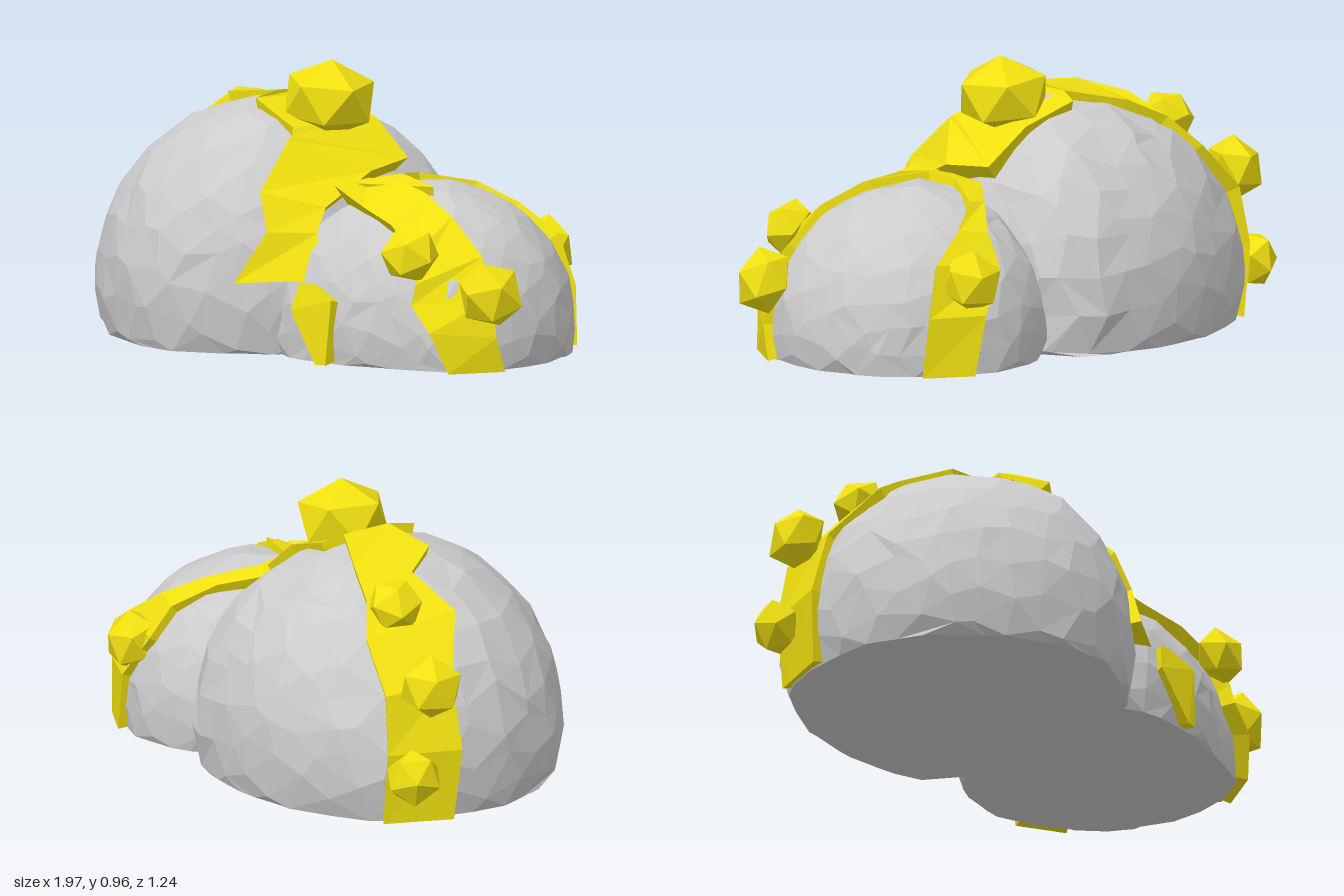
import * as THREE from 'three';

const grey = new THREE.MeshStandardMaterial({ color: 0xcccccc, flatShading: true });
const yellow = new THREE.MeshStandardMaterial({ color: 0xf0e010, flatShading: true });

// Each boulder: centre, height above centre, and plan radius every 30 degrees from +x towards +z
const bigRock = {
  c: new THREE.Vector3(-0.25, 0.18, 0), h: 0.63,
  radii: [0.47, 0.52, 0.565, 0.62, 0.62, 0.65, 0.66, 0.665, 0.62, 0.6, 0.64, 0.52],
};
const smallRock = {
  c: new THREE.Vector3(0.38, 0.1, -0.1), h: 0.48,
  radii: [0.52, 0.53, 0.46, 0.48, 0.54, 0.45, 0.35, 0.4, 0.46, 0.48, 0.48, 0.5],
};

function planRadius(rock, x, z) {
  const a = ((Math.atan2(z, x) / (Math.PI * 2) + 1) % 1) * 12;
  const i = Math.floor(a);
  const t = a - i;
  const s = t * t * (3 - 2 * t);
  return rock.radii[i % 12] * (1 - s) + rock.radii[(i + 1) % 12] * s;
}

// Distance from the rock's centre to its surface along d, in units of d's length
function reach(rock, d) {
  const r = planRadius(rock, d.x, d.z);
  return 1 / Math.hypot(d.x / r, d.y / rock.h, d.z / r);
}

// Faceted boulder with slightly uneven vertices and a flat underside
function boulder(name, rock) {
  const g = new THREE.IcosahedronGeometry(1, 5);
  const p = g.attributes.position;
  const v = new THREE.Vector3();
  for (let i = 0; i < p.count; i++) {
    v.fromBufferAttribute(p, i);
    const { x, y, z } = v;
    v.x += 0.06 * Math.sin(17 * y + 9 * z + 1);
    v.y += 0.06 * Math.sin(15 * z + 11 * x + 2);
    v.z += 0.06 * Math.sin(16 * x + 10 * y + 3);
    const r = planRadius(rock, v.x, v.z);
    v.normalize();
    const bump = 1 + 0.012 * Math.sin(13 * x + 7 * y) * Math.cos(11 * z - 5 * y);
    const yy = rock.c.y + v.y * rock.h * bump;
    let s = bump * r;
    if (yy < 0) {
      // Spread the underside out to the foot of the rock
      const flat = Math.hypot(v.x, v.z) || 1;
      const foot = Math.sqrt(1 - (rock.c.y / rock.h) ** 2);
      s *= foot * Math.pow(flat / foot, 0.3) / flat;
    }
    p.setXYZ(i, rock.c.x + v.x * s, Math.max(0, yy), rock.c.z + v.z * s);
  }
  g.computeVertexNormals();
  const m = new THREE.Mesh(g, grey);
  m.name = name;
  return m;
}

// Angular slab draped on a rock; each station is a pair of edge points [x,y,z, x,y,z]
function vein(name, rock, stations) {
  const rings = stations.map((s) => {
    const [a, b] = [s.slice(0, 3), s.slice(3)].map((q) => {
      const d = new THREE.Vector3(...q).sub(rock.c);
      const len = d.length();
      const out = Math.max(len, reach(rock, d) * len + 0.03);
      d.normalize();
      return [out, out - 0.08].map((l) => {
        const w = d.clone().multiplyScalar(l).add(rock.c);
        w.y = Math.max(0, w.y);
        return w;
      });
    });
    return [a[0], b[0], b[1], a[1]];
  });
  const pos = [];
  const quad = (a, b, c, d) => [a, b, c, a, c, d].forEach((w) => pos.push(w.x, w.y, w.z));
  for (let i = 0; i < rings.length - 1; i++) {
    for (let k = 0; k < 4; k++) {
      const n = (k + 1) % 4;
      quad(rings[i][k], rings[i][n], rings[i + 1][n], rings[i + 1][k]);
    }
  }
  const first = rings[0];
  const last = rings[rings.length - 1];
  quad(first[3], first[2], first[1], first[0]);
  quad(...last);
  const g = new THREE.BufferGeometry();
  g.setAttribute('position', new THREE.Float32BufferAttribute(pos, 3));
  g.computeVertexNormals();
  const m = new THREE.Mesh(g, yellow);
  m.name = name;
  return m;
}

// Twenty-sided crystal, slightly flattened along its outward direction
function crystal(x, y, z, r, out) {
  const g = new THREE.IcosahedronGeometry(r, 0);
  g.rotateX(Math.atan(2 / (1 + Math.sqrt(5))));
  g.scale(1, 1, 0.8);
  const m = new THREE.Mesh(g, yellow);
  m.position.set(x, y, z);
  m.quaternion.setFromUnitVectors(new THREE.Vector3(0, 0, 1), new THREE.Vector3(...out).normalize());
  m.name = 'crystal';
  return m;
}

export function createModel() {
  const model = new THREE.Group();
  model.name = 'oreBoulders';
  model.add(boulder('bigBoulder', bigRock), boulder('smallBoulder', smallRock));

  // Main vein: up the side of the big boulder, over its top and down the front
  model.add(vein('mainVein', bigRock, [
    [-0.82, 0, -0.33, -0.89, 0, -0.1],
    [-0.85, 0.25, -0.33, -0.9, 0.25, -0.08],
    [-0.82, 0.45, -0.32, -0.85, 0.48, -0.08],
    [-0.66, 0.6, -0.3, -0.68, 0.64, 0.02],
    [-0.56, 0.7, -0.24, -0.53, 0.74, -0.05],
    [-0.42, 0.76, -0.2, -0.42, 0.77, 0.08],
    [-0.22, 0.8, -0.12, -0.22, 0.8, 0.05],
    [-0.2, 0.8, -0.2, -0.22, 0.8, 0.15],
    [0, 0.74, -0.2, -0.02, 0.74, 0.17],
    [0.16, 0.62, -0.2, 0, 0.71, 0.19],
    [0.19, 0.6, 0, 0, 0.69, 0.21],
    [0.2, 0.5, 0.22, 0.03, 0.53, 0.36],
    [0.22, 0.42, 0.28, 0.1, 0.42, 0.4],
    [0.28, 0.27, 0.33, 0.04, 0.25, 0.49],
  ]));

  // Side vein: across the small boulder to its foot
  model.add(vein('sideVein', smallRock, [
    [0.2, 0.58, 0.02, 0.2, 0.57, 0.18],
    [0.36, 0.58, 0.03, 0.36, 0.52, 0.2],
    [0.5, 0.54, 0.04, 0.52, 0.48, 0.22],
    [0.65, 0.48, 0.06, 0.66, 0.4, 0.23],
    [0.8, 0.38, 0.06, 0.7, 0.3, 0.27],
    [0.86, 0.25, 0.07, 0.7, 0.23, 0.29],
    [0.89, 0.12, 0.08, 0.78, 0.14, 0.28],
    [0.91, 0, 0.05, 0.82, 0, 0.23],
  ]));

  // Rear vein: over the small boulder and down its back
  model.add(vein('rearVein', smallRock, [
    [0.2, 0.57, 0.1, 0.5, 0.54, 0],
    [0.2, 0.58, -0.05, 0.3, 0.58, -0.05],
    [0.19, 0.57, -0.2, 0.27, 0.57, -0.15],
    [0.28, 0.52, -0.32, 0.35, 0.52, -0.33],
    [0.36, 0.45, -0.45, 0.46, 0.46, -0.42],
    [0.37, 0.35, -0.53, 0.6, 0.38, -0.49],
    [0.46, 0.2, -0.56, 0.64, 0.2, -0.5],
    [0.5, 0, -0.56, 0.66, 0, -0.49],
  ]));

  // Short vein at the foot of the small boulder's front
  model.add(vein('frontVein', smallRock, [
    [0.31, 0.26, 0.36, 0.26, 0.26, 0.37],
    [0.41, 0.22, 0.38, 0.24, 0.17, 0.4],
    [0.4, 0, 0.41, 0.36, 0, 0.42],
  ]));

  // Crystals: position, radius, outward direction
  const crystals = [
    [-0.04, 0.82, -0.02, 0.17, [0.1, 1, 0]],
    [-0.63, 0.7, -0.17, 0.1, [-0.6, 1, -0.2]],
    [-0.9, 0.49, -0.19, 0.115, [-1, 0.5, -0.3]],
    [-0.92, 0.18, -0.27, 0.1, [-1, 0, -0.4]],
    [0.66, 0.4, 0.26, 0.105, [0.5, 0.5, 0.7]],
    [0.89, 0.27, 0.1, 0.12, [1, 0.4, 0.3]],
    [0.49, 0.32, -0.54, 0.11, [0.2, 0.3, -1]],
  ];
  const cluster = new THREE.Group();
  cluster.name = 'crystals';
  crystals.forEach((c) => cluster.add(crystal(...c)));
  model.add(cluster);
  return model;
}
